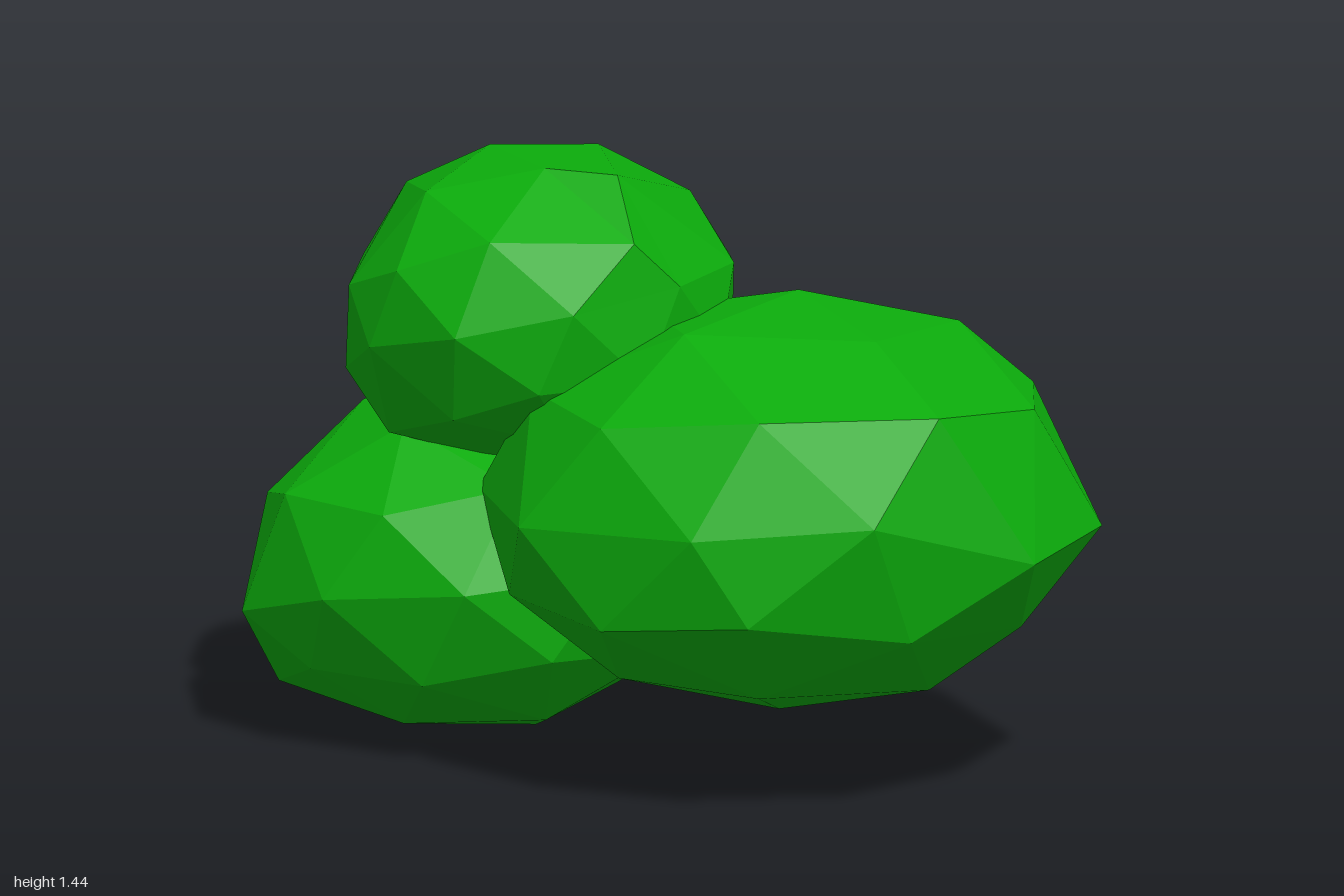
import * as THREE from 'three';

const leafGreen = new THREE.MeshStandardMaterial({ color: 0x0cac0c, flatShading: true });
leafGreen.name = 'leafGreen';

// Moves the corner nearest to target onto it, in every face that shares it.
function pullCorner(geometry, target) {
  const pos = geometry.attributes.position;
  const goal = new THREE.Vector3(...target);
  const corners = Array.from({ length: pos.count }, (_, i) => new THREE.Vector3().fromBufferAttribute(pos, i));
  const nearest = corners.reduce((a, b) => (b.distanceTo(goal) < a.distanceTo(goal) ? b : a));
  corners.forEach((c, i) => {
    if (c.distanceTo(nearest) < 0.001) pos.setXYZ(i, ...target);
  });
}

// Faceted ball with a corner pointing up: turned, leaned towards lean (x, z), flattened,
// placed, then made irregular by pulling a few corners.
function leafClump({ name, center, radii, turn, lean, pulls }) {
  const g = new THREE.IcosahedronGeometry(1, 1);
  g.rotateZ(Math.atan(2 / (1 + Math.sqrt(5))));
  g.rotateY(THREE.MathUtils.degToRad(36 - turn));
  const axis = new THREE.Vector3(lean[0], 1, lean[1]).normalize();
  g.applyQuaternion(new THREE.Quaternion().setFromUnitVectors(new THREE.Vector3(0, 1, 0), axis));
  g.scale(...radii);
  g.translate(...center);
  pulls.forEach((target) => pullCorner(g, target));
  g.computeVertexNormals();
  const mesh = new THREE.Mesh(g, leafGreen);
  mesh.name = name;
  return mesh;
}

export function createModel() {
  const bush = new THREE.Group();
  bush.name = 'bush';
  bush.add(
    // wide clump at the front left
    leafClump({
      name: 'frontClump', center: [0.27, 0.66, 0.215], radii: [0.74, 0.49, 0.725], turn: -7, lean: [0.04, -0.14],
      pulls: [
        [1, 0.63, 0.4], [0.82, 0.62, 0.75], [0.43, 0.75, 0.92], [0, 0.71, 0.85], [-0.39, 0.68, 0.55],
        [0.87, 0.64, -0.05], [0.85, 0.93, 0.18], [0.56, 0.6, -0.42], [0.59, 0.99, 0.8],
        [0.84, 0.375, 0.15], [0.8, 0.42, 0.54], [0.72, 0.46, -0.2]
      ]
    }),
    // low clump at the back right, resting on the ground
    leafClump({
      name: 'backClump', center: [-0.415, 0.418, -0.34], radii: [0.595, 0.427, 0.6], turn: 44, lean: [-0.14, -0.08],
      pulls: [
        [-1, 0.31, -0.19], [-0.95, 0.3, -0.6], [-0.64, 0.29, -0.83], [-0.26, 0.37, -0.92],
        [-0.93, 0.56, -0.35], [-0.5, 0.63, -0.81], [-0.75, 0.6, -0.66], [-0.5, 0.82, -0.57], [-0.7, 0.77, -0.4],
        [-0.62, 0, -0.55], [-0.3, 0.01, -0.25], [-0.9, 0.09, -0.4], [-0.5, 0.13, -0.84], [-0.1, 0.1, -0.3]
      ]
    }),
    // small clump on top
    leafClump({
      name: 'topClump', center: [-0.295, 1.075, -0.11], radii: [0.475, 0.378, 0.485], turn: -7, lean: [-0.26, -0.17],
      pulls: [
        [0.165, 1.12, -0.35], [-0.755, 1.13, -0.06], [-0.755, 0.9, -0.18], [-0.66, 0.77, -0.06],
        [-0.13, 1.43, 0.12], [-0.1, 1.3, 0.28]
      ]
    })
  );
  return bush;
}
